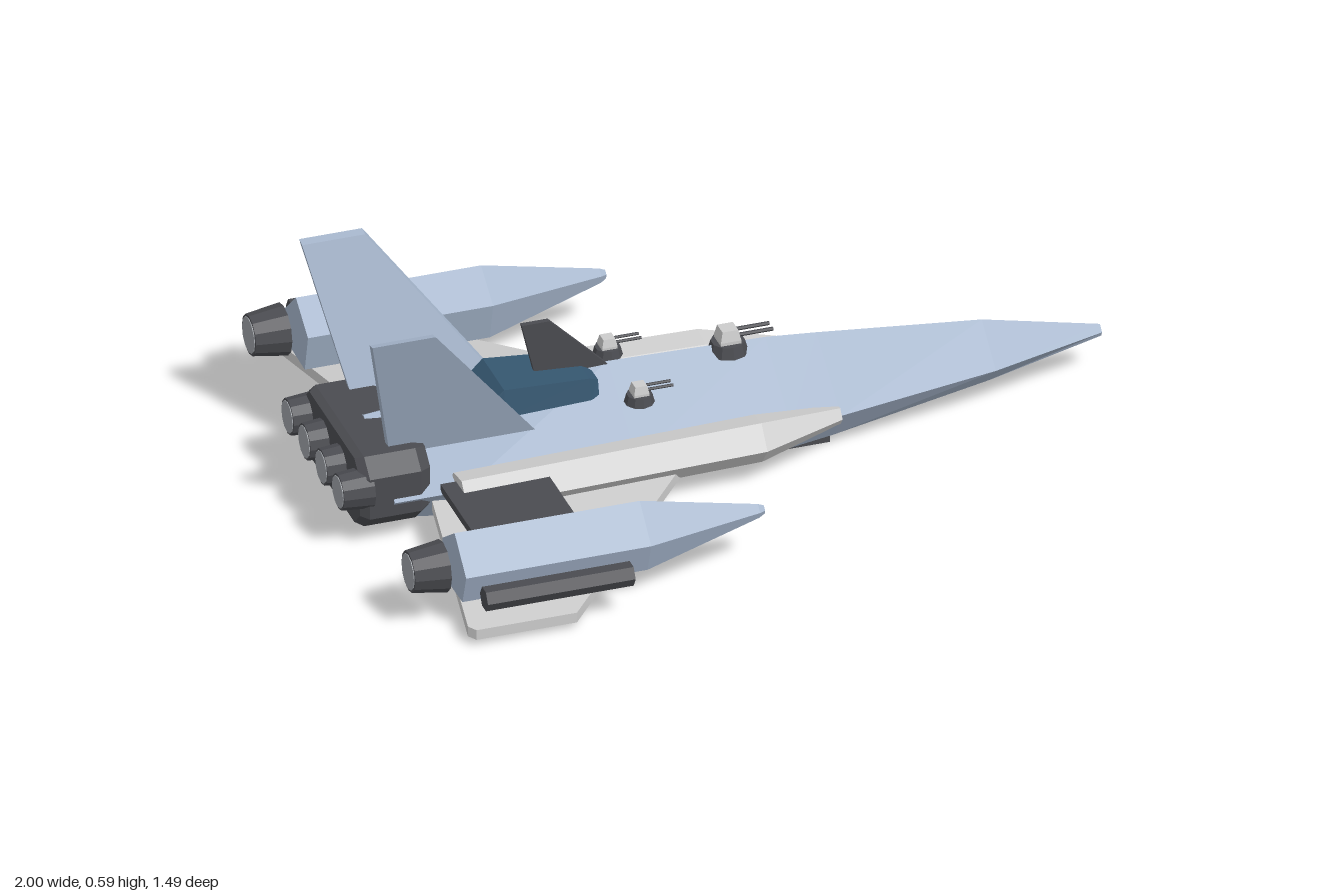
import * as THREE from 'three';

const mat = (color) => new THREE.MeshStandardMaterial({ color, flatShading: true });

// Skin a list of equal-length rings of [x, y, z] points and cap both ends, facing outward.
function skin(rings) {
  const tris = [];
  const n = rings[0].length;
  for (let r = 0; r < rings.length - 1; r++) {
    const a = rings[r], b = rings[r + 1];
    for (let i = 0; i < n; i++) {
      const j = (i + 1) % n;
      tris.push([a[i], a[j], b[i]], [a[j], b[j], b[i]]);
    }
  }
  const first = rings[0], last = rings[rings.length - 1];
  for (let i = 1; i < n - 1; i++) {
    tris.push([first[0], first[i + 1], first[i]], [last[0], last[i], last[i + 1]]);
  }
  let volume = 0;
  for (const [a, b, c] of tris) {
    volume += a[0] * (b[1] * c[2] - b[2] * c[1]) + a[1] * (b[2] * c[0] - b[0] * c[2])
      + a[2] * (b[0] * c[1] - b[1] * c[0]);
  }
  const flat = tris.flatMap(([a, b, c]) => (volume < 0 ? [a, c, b] : [a, b, c])).flat();
  const geo = new THREE.BufferGeometry();
  geo.setAttribute('position', new THREE.Float32BufferAttribute(flat, 3));
  geo.computeVertexNormals();
  return geo;
}

// Flat plate: corner outline thickened along an offset.
const slab = (pts, [dx, dy, dz]) => skin([pts, pts.map(([x, y, z]) => [x + dx, y + dy, z + dz])]);

// Cylinder along x, from rear x0 to front x1.
function rod(x0, x1, rRear, rFront, y, z, sides) {
  const geo = new THREE.CylinderGeometry(rFront, rRear, x1 - x0, sides);
  return geo.rotateZ(-Math.PI / 2).translate((x0 + x1) / 2, y, z);
}

const box = (w, h, d, x, y, z) => new THREE.BoxGeometry(w, h, d).translate(x, y, z);

export function createModel() {
  const model = new THREE.Group();
  const blue = mat(0xa3b3c9), dark = mat(0x4a4b50), grey = mat(0xcccccc);
  const glass = mat(0x35566f), flame = mat(0x9a9ea3);
  const add = (name, geo, material, parent = model) => {
    const mesh = new THREE.Mesh(geo, material);
    mesh.name = name;
    parent.add(mesh);
    return mesh;
  };

  // Main hull: ridge top, knife-edge sides, flat belly
  // [x, ridge y, side y, half width, belly y, belly half width]
  const hull = [
    [-0.87, 0.24, 0.125, 0.235, 0.04, 0.15],
    [-0.7, 0.255, 0.125, 0.235, 0.02, 0.165],
    [-0.25, 0.272, 0.12, 0.215, 0.018, 0.16],
    [0.15, 0.262, 0.12, 0.193, 0.025, 0.14],
    [0.28, 0.25, 0.12, 0.185, 0.034, 0.125],
    [0.7, 0.205, 0.12, 0.105, 0.07, 0.06],
    [1, 0.135, 0.12, 0.016, 0.108, 0.01],
  ].map(([x, top, sy, w, bot, bw]) => [
    [x, top, 0], [x, sy, w], [x, bot, bw], [x, bot, -bw], [x, sy, -w],
  ]);
  add('hull', skin(hull), blue);

  // Belly plate
  add('bellyPlate', box(1.07, 0.04, 0.2, -0.255, 0.02, 0), dark);

  // Canopy and dorsal blade
  const canopy = [[-0.585, 0.22, 0.25, 0.085, 0.075], [-0.54, 0.22, 0.29, 0.092, 0.08],
    [-0.32, 0.22, 0.275, 0.08, 0.07], [-0.295, 0.22, 0.262, 0.07, 0.06]]
    .map(([x, y0, y1, w0, w1]) => [[x, y0, w0], [x, y0, -w0], [x, y1, -w1], [x, y1, w1]]);
  add('canopy', skin(canopy), glass);
  const blade = [[-0.47, 0.415], [-0.4, 0.415], [-0.25, 0.265], [-0.435, 0.265]];
  add('dorsalBlade', slab(blade.map(([x, y]) => [x, y, -0.007]), [0, 0, 0.014]), dark);

  // Chamfered engine block with a row of nozzles
  const blockRing = (x, k) => [[0.18, 0.235], [0.225, 0.195], [0.225, 0.085], [0.18, 0.042],
    [-0.18, 0.042], [-0.225, 0.085], [-0.225, 0.195], [-0.18, 0.235]]
    .map(([z, y]) => [x, 0.14 + (y - 0.14) * k, z * k]);
  add('engineBlock', skin([blockRing(-0.95, 0.92), blockRing(-0.93, 1), blockRing(-0.8, 1),
    blockRing(-0.77, 0.9)]), dark);
  for (const z of [-0.187, -0.063, 0.063, 0.187]) {
    add('mainNozzle', rod(-0.998, -0.92, 0.046, 0.053, 0.155, z, 12), dark);
    add('nozzleGlow', rod(-1, -0.99, 0.041, 0.041, 0.155, z, 12), flame);
  }

  for (const s of [1, -1]) {
    const side = new THREE.Group();
    side.name = s > 0 ? 'leftSide' : 'rightSide';
    model.add(side);
    const flip = (pts) => pts.map(([x, y, z]) => [x, y, z * s]);

    // Armoured cheek along the hull
    const cheek = [[-0.71, 0.305, 1], [0.06, 0.28, 1], [0.28, 0.195, 0.4]].map(([x, out, k]) => flip([
      [0, 0.115], [-0.045, 0.17], [-0.105, 0.16], [-0.14, 0.115], [-0.105, 0.06], [-0.04, 0.065],
    ].map(([dz, y]) => [x, 0.115 + (y - 0.115) * k, out + dz * k])));
    add('cheek', skin(cheek), grey, side);

    // Drooping wing
    add('wing', slab(flip([[-0.11, 0.068, 0.2], [-0.58, 0.017, 0.735], [-0.835, 0.017, 0.735],
      [-0.85, 0.019, 0.715], [-0.765, 0.068, 0.2]]), [0, 0.027, 0]), grey, side);

    // Canted tail fin
    add('tailFin', slab(flip([[-0.483, 0.2, 0.12], [-0.78, 0.587, 0.25], [-0.94, 0.587, 0.25],
      [-0.852, 0.2, 0.12]]), [0, 0.005, 0.022 * s]), blue, side);

    // Strut and five-sided outboard pod
    add('strut', box(0.26, 0.02, 0.32, -0.62, 0.137, 0.38 * s), dark, side);
    const pod = [[-0.84, 1], [-0.37, 1], [-0.07, 0.2], [-0.055, 0.12]].map(([x, k]) => flip([
      [0, 0.083], [0.086, 0.004], [0.058, -0.077], [-0.066, -0.081], [-0.09, 0.02],
    ].map(([dz, dy]) => [x, 0.15 + dy * k, 0.587 + dz * k])));
    add('pod', skin(pod), blue, side);
    add('podNozzle', rod(-0.958, -0.87, 0.052, 0.065, 0.15, 0.59 * s, 12), dark, side);
    add('podGlow', rod(-0.96, -0.95, 0.046, 0.046, 0.15, 0.59 * s, 12), flame, side);

    // Wingtip gun
    add('wingtipGun', rod(-0.81, -0.435, 0.03, 0.03, 0.116, 0.717 * s, 6), dark, side);
  }

  // Twin-barrel turrets
  const turret = (x, y, z, k) => {
    const g = new THREE.Group();
    g.name = 'turret';
    g.position.set(x, y, z);
    g.scale.setScalar(k);
    model.add(g);
    add('turretBase', new THREE.CylinderGeometry(0.042, 0.05, 0.03, 10).translate(0, 0.005, 0), dark, g);
    const head = [[0, 0.026], [0.018, 0.026], [0.045, 0.02]].map(([h, w]) =>
      [[-w, h + 0.01, -w], [w, h + 0.01, -w], [w, h + 0.01, w], [-w, h + 0.01, w]]);
    add('turretHead', skin(head), grey, g);
    for (const s of [1, -1]) {
      add('turretBarrel', rod(0.015, 0.11, 0.005, 0.005, 0.038, 0.014 * s, 6), dark, g);
    }
  };
  turret(0.055, 0.252, 0, 1);
  turret(-0.21, 0.225, 0.118, 0.75);
  turret(-0.21, 0.225, -0.118, 0.75);

  return model;
}
